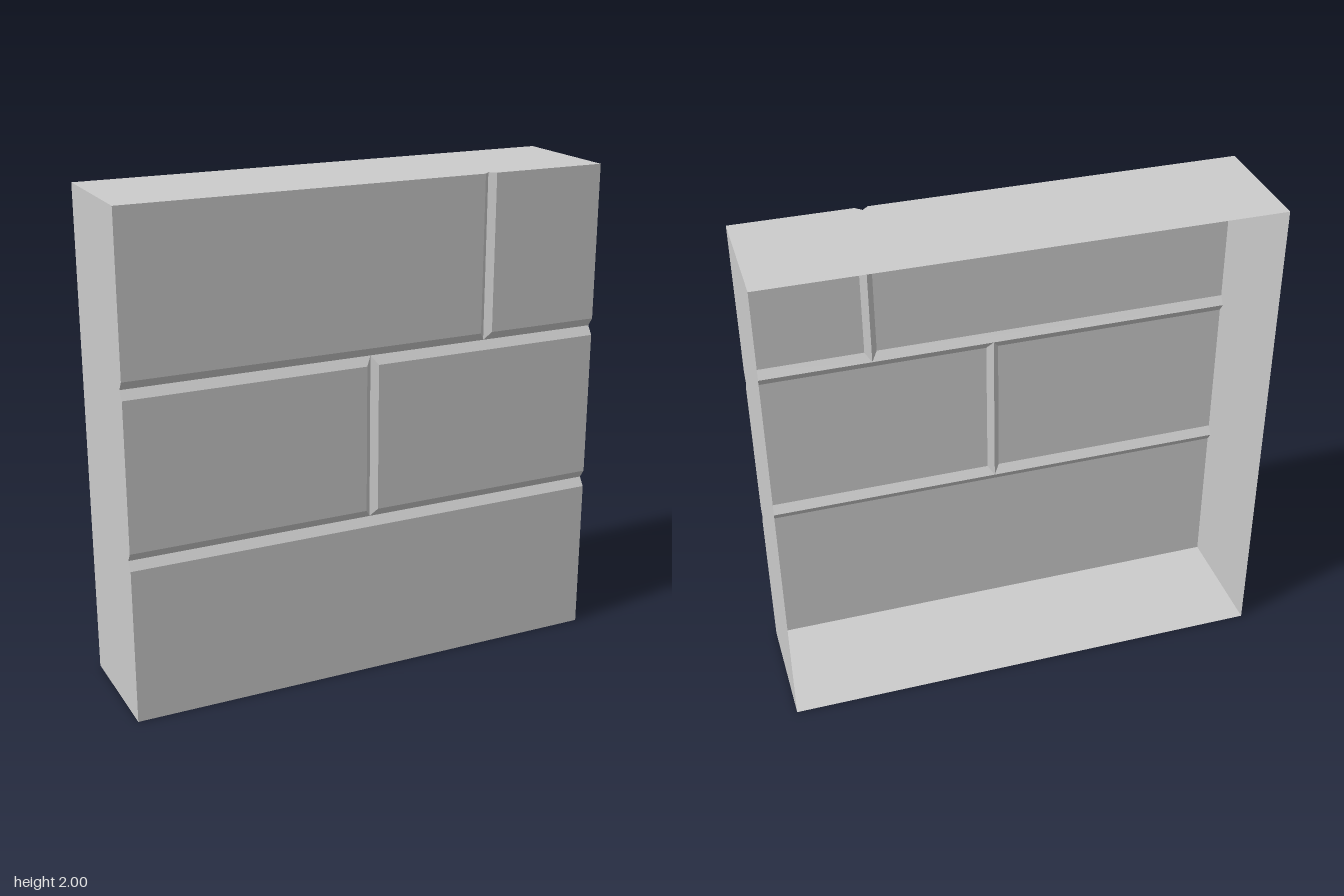
import * as THREE from 'three';

const material = new THREE.MeshStandardMaterial({ color: 0xcccccc, flatShading: true, side: THREE.DoubleSide });
const FRONT = 0.25, BACK = -0.25, DEPTH = 0.024, VALLEY = FRONT - DEPTH;
const BED = 0.035, HEAD = 0.025; // half widths of horizontal and vertical joints
const ROWS = [0, 2 / 3, 4 / 3, 2];
const SPLITS = [[-1, 1], [-1, 0, 1], [-1, 0.5, 1]]; // brick ends in each course

// Flat brick face with a sloped flank along every edge that meets a joint
function brick(x0, x1, y0, y1) {
  const l = x0 > -1 ? HEAD : 0, r = x1 < 1 ? HEAD : 0;
  const b = y0 > 0 ? BED : 0, t = y1 < 2 ? BED : 0;
  const outer = [[x0, y0], [x1, y0], [x1, y1], [x0, y1]];
  const inner = [[x0 + l, y0 + b], [x1 - r, y0 + b], [x1 - r, y1 - t], [x0 + l, y1 - t]];
  const pos = [];
  const quad = (p, q, s, u) => pos.push(...p, ...q, ...s, ...p, ...s, ...u);
  const face = inner.map(([x, y]) => [x, y, FRONT]);
  const rim = outer.map(([x, y]) => [x, y, VALLEY]);
  quad(...face);
  [b, r, t, l].forEach((inset, i) => {
    const j = (i + 1) % 4;
    if (inset) quad(rim[i], rim[j], face[j], face[i]);
  });
  const geo = new THREE.BufferGeometry();
  geo.setAttribute('position', new THREE.Float32BufferAttribute(pos, 3));
  geo.computeVertexNormals();
  return geo;
}

const panel = (points) => new THREE.ShapeGeometry(new THREE.Shape(points.map(([x, y]) => new THREE.Vector2(x, y))));

export function createModel() {
  const group = new THREE.Group();
  const add = (name, geo) => {
    const mesh = new THREE.Mesh(geo, material);
    mesh.name = name;
    group.add(mesh);
  };

  // Three courses of bricks on the front
  SPLITS.forEach((ends, row) => {
    for (let i = 0; i + 1 < ends.length; i++) {
      add(`brickCourse${row + 1}_${i + 1}`, brick(ends[i], ends[i + 1], ROWS[row], ROWS[row + 1]));
    }
  });

  // Side walls, notched where the horizontal joints run out
  const profile = [[BACK, 0], [FRONT, 0]];
  for (const y of [ROWS[1], ROWS[2]]) profile.push([FRONT, y - BED], [VALLEY, y], [FRONT, y + BED]);
  profile.push([FRONT, 2], [BACK, 2]);
  for (const [name, x] of [['leftWall', 1], ['rightWall', -1]]) {
    add(name, panel(profile).rotateY(-Math.PI / 2).translate(x, 0, 0));
  }

  // Top notched by the vertical joint, plain bottom; the back stays open
  const notch = [[0.5 + HEAD, FRONT], [0.5, VALLEY], [0.5 - HEAD, FRONT]];
  const slab = (cut) => panel([[-1, BACK], [1, BACK], [1, FRONT], ...cut, [-1, FRONT]]).rotateX(Math.PI / 2);
  add('topWall', slab(notch).translate(0, 2, 0));
  add('bottomWall', slab([]));
  return group;
}
